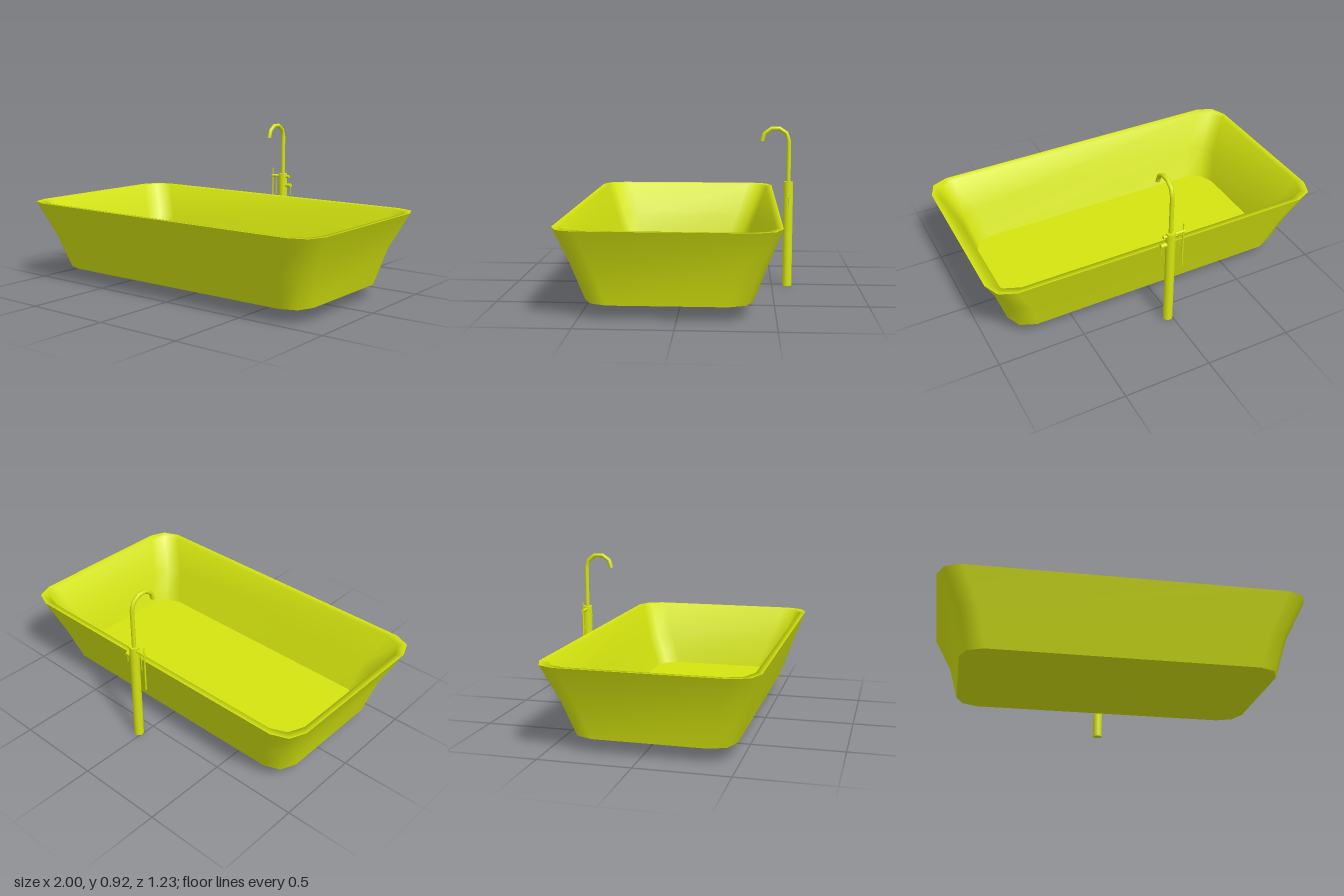
import * as THREE from 'three';

const material = new THREE.MeshStandardMaterial({ color: 0xd4e40f });
const TUB_Z = 0.045;
const TAP_X = 0.022, TAP_Z = -0.59;

// Rectangle with rounded corners (two facets each) at height y
function ring(halfX, halfZ, y, r) {
  const points = [];
  const signs = [[1, 1], [-1, 1], [-1, -1], [1, -1]];
  signs.forEach(([sx, sz], q) => {
    for (let i = 0; i <= 2; i++) {
      const a = (q + i / 2) * Math.PI / 2;
      points.push([sx * (halfX - r) + r * Math.cos(a), y, TUB_Z + sz * (halfZ - r) + r * Math.sin(a)]);
    }
  });
  return points;
}

// Smooth skin stretched over successive rings
function skin(name, rings) {
  const n = rings[0].length, index = [];
  for (let k = 0; k < rings.length - 1; k++) {
    for (let j = 0; j < n; j++) {
      const a = k * n + j, b = k * n + (j + 1) % n;
      index.push(a, a + n, b, b, a + n, b + n);
    }
  }
  const geometry = new THREE.BufferGeometry();
  geometry.setAttribute('position', new THREE.Float32BufferAttribute(rings.flat(2), 3));
  geometry.setIndex(index);
  geometry.computeVertexNormals();
  return named(name, geometry);
}

function named(name, geometry) {
  const mesh = new THREE.Mesh(geometry, material);
  mesh.name = name;
  return mesh;
}

// Upright cylinder between two heights
function post(name, x, z, y0, y1, r, sides = 16) {
  const mesh = named(name, new THREE.CylinderGeometry(r, r, y1 - y0, sides));
  mesh.position.set(x, (y0 + y1) / 2, z);
  return mesh;
}

// Cylinder lying along x
function bar(name, x0, x1, y, r) {
  const mesh = named(name, new THREE.CylinderGeometry(r, r, x1 - x0, 12));
  mesh.rotation.z = Math.PI / 2;
  mesh.position.set((x0 + x1) / 2, y, TAP_Z);
  return mesh;
}

function createTub() {
  const tub = new THREE.Group();
  tub.name = 'bathtub';
  const base = ring(0.855, 0.43, 0.08, 0.125);
  const floor = ring(0.82, 0.39, 0.1, 0.125);
  tub.add(
    skin('outerWall', [base, ring(0.905, 0.5, 0.28, 0.127), ring(1, 0.57, 0.478, 0.13)]),
    // Rim flowing into the inner wall
    skin('rimAndInnerWall', [
      ring(1, 0.57, 0.478, 0.13),
      ring(0.962, 0.533, 0.475, 0.127),
      ring(0.868, 0.461, 0.28, 0.126),
      floor,
    ]),
    skin('floor', [floor, ring(0, 0, 0.1, 0)]),
    skin('underside', [ring(0, 0, 0.08, 0), base]),
  );
  return tub;
}

function createTap() {
  const tap = new THREE.Group();
  tap.name = 'standingTap';
  tap.add(
    post('column', TAP_X, TAP_Z, 0, 0.608, 0.027),
    post('riser', TAP_X, TAP_Z, 0.6, 0.842, 0.012, 12),
  );

  // Faceted gooseneck spout
  const arc = [];
  for (let i = 0; i <= 20; i++) {
    const a = i / 20 * Math.PI;
    arc.push(new THREE.Vector3(TAP_X, 0.842 + 0.074 * Math.sin(a), -0.513 - 0.077 * Math.cos(a)));
  }
  const path = new THREE.CatmullRomCurve3(arc);
  tap.add(named('spout', new THREE.TubeGeometry(path, 5, 0.012, 12)));
  const tip = named('spoutTip', new THREE.CircleGeometry(0.012, 12));
  tip.rotation.x = Math.PI / 2;
  tip.position.copy(arc[20]);
  tap.add(tip);

  // Valve with its lever, and the holder with the hand shower
  tap.add(
    bar('valve', TAP_X, 0.082, 0.535, 0.012),
    post('valveLever', 0.078, TAP_Z, 0.478, 0.535, 0.003, 8),
    bar('showerHolder', -0.06, 0.068, 0.59, 0.0095),
    post('holderLever', -0.03, TAP_Z, 0.475, 0.59, 0.003, 8),
    post('showerStem', -0.055, TAP_Z, 0.5, 0.64, 0.003, 8),
    post('showerHandle', -0.055, TAP_Z, 0.355, 0.59, 0.005, 8),
  );
  return tap;
}

export function createModel() {
  const model = new THREE.Group();
  model.name = 'bathtubWithTap';
  model.add(createTub(), createTap());
  return model;
}
